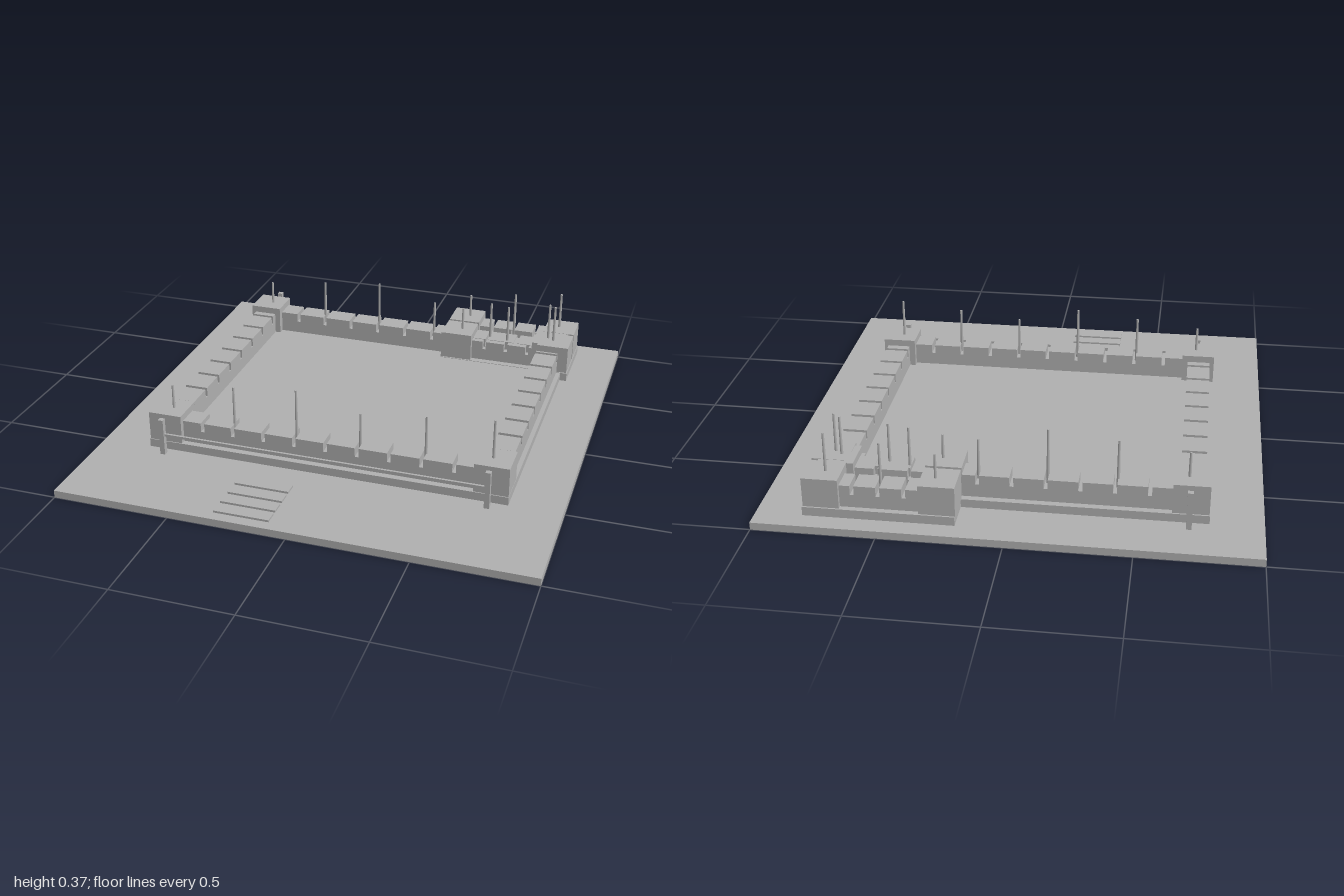
import * as THREE from 'three';

export function createModel() {
  const model = new THREE.Group();
  model.name = 'courtyardFort';
  const stone = new THREE.MeshStandardMaterial({ color: 0xb0b0b0 });
  stone.name = 'grey stone';

  // Box given by its limits on each axis
  function block(name, x0, x1, y0, y1, z0, z1, parent = model) {
    const mesh = new THREE.Mesh(new THREE.BoxGeometry(x1 - x0, y1 - y0, z1 - z0), stone);
    mesh.position.set((x0 + x1) / 2, (y0 + y1) / 2, (z0 + z1) / 2);
    mesh.name = name;
    parent.add(mesh);
  }

  const GROUND = 0.032, FLOOR = 0.068, WALK = 0.125, WALL = 0.165, TOWER = 0.195;

  // Ground slab and raised plinths
  block('groundSlab', -1, 1, 0, GROUND, -1, 1);
  block('plinth', -0.785, 0.78, GROUND, FLOOR, -0.78, 0.55);
  block('annexPlinth', 0.2, 0.81, GROUND, FLOOR + 0.002, -0.92, -0.6);

  // Wall with merlons; gaps lists the centres of the notches
  function wall(name, axis, from, to, centre, thick, gaps, gapWidth, top = WALL) {
    const group = new THREE.Group();
    group.name = name;
    model.add(group);
    const c0 = centre - thick / 2, c1 = centre + thick / 2;
    const piece = (part, a, b, y0, y1) => axis === 'x'
      ? block(part, a, b, y0, y1, c0, c1, group)
      : block(part, c0, c1, y0, y1, a, b, group);
    piece('wallBody', from, to, FLOOR, WALK);
    let start = from;
    for (const gap of [...gaps, to + gapWidth / 2]) {
      piece('merlon', start, gap - gapWidth / 2, WALK, top);
      start = gap + gapWidth / 2;
    }
  }
  const spaced = (count, middle, pitch) =>
    Array.from({ length: count }, (_, i) => middle + (i - (count - 1) / 2) * pitch);

  const longGaps = spaced(9, 0, 0.137), sideGaps = spaced(8, -0.115, 0.135);
  wall('frontWall', 'x', -0.64, 0.64, 0.475, 0.095, longGaps, 0.016);
  wall('backWall', 'x', -0.64, 0.64, -0.705, 0.095, longGaps, 0.016);
  wall('leftWall', 'z', -0.63, 0.41, 0.71, 0.102, sideGaps, 0.018);
  wall('rightWall', 'z', -0.63, 0.41, -0.713, 0.102, sideGaps, 0.018);
  const annexGaps = spaced(3, 0.507, 0.103);
  wall('annexBackWall', 'x', 0.33, 0.67, -0.848, 0.095, annexGaps, 0.016);
  wall('annexFrontWall', 'x', 0.33, 0.67, -0.678, 0.095, annexGaps, 0.016, WALL - 0.002);
  for (const x of [0.27, 0.735]) {
    block('annexLinkWall', x - 0.045, x + 0.045, FLOOR, WALL, -0.78, -0.74);
  }

  // Corner towers of the main court, then of the annex
  const tower = (name, x, z, top) =>
    block(name, x - 0.073, x + 0.073, FLOOR, top, z - 0.073, z + 0.073);
  for (const x of [-0.71, 0.706]) {
    for (const z of [-0.7, 0.473]) tower('cornerTower', x, z, TOWER);
  }
  for (const x of [0.271, 0.734]) {
    for (const z of [-0.84, -0.68]) tower('annexTower', x, z, TOWER + 0.001);
  }

  // Slim poles with heights repeating in threes
  const tops = [0.302, 0.335, 0.365];
  function pole(x, z, i) {
    const h = tops[i % 3] - WALK;
    const mesh = new THREE.Mesh(new THREE.CylinderGeometry(0.005, 0.007, h, 8), stone);
    mesh.position.set(x, WALK + h / 2, z);
    mesh.name = 'pole';
    model.add(mesh);
  }
  for (const z of [-0.7, 0.473]) {
    spaced(6, -0.001, 0.279).forEach((x, i) => pole(x, z, i));
  }
  for (const z of [-0.84, -0.68]) {
    [0.285, 0.505, 0.725].forEach((x, i) => pole(x, z, i));
  }

  // Free-standing posts, with a rail across the front
  for (const [x, z] of [[-0.705, 0.588], [0.702, 0.588], [-0.705, -0.82]]) {
    block('post', x - 0.011, x + 0.011, GROUND, TOWER, z - 0.011, z + 0.011);
  }
  block('frontRail', -0.7, 0.7, 0.117, 0.128, 0.583, 0.593);

  // Row of low slabs before the front
  for (const z of spaced(4, 0.816, 0.073)) {
    block('pathSlab', -0.32, -0.085, GROUND, 0.041, z - 0.028, z + 0.028);
  }
  return model;
}
